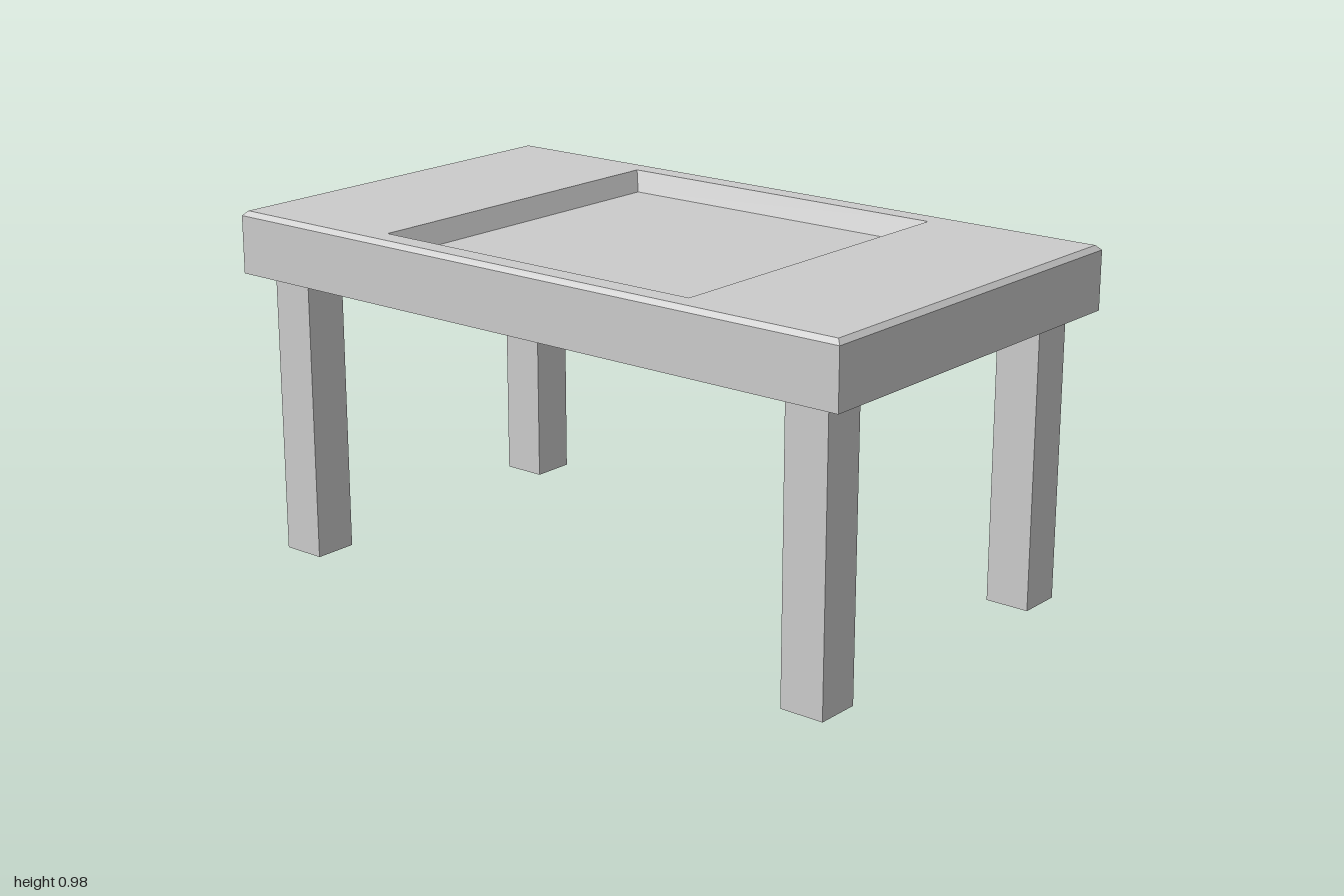
import * as THREE from 'three';

const material = new THREE.MeshStandardMaterial({ color: 0xcccccc, flatShading: true });

// Lofts a closed solid through rectangular rings [halfX, halfZ, y]
function loftRectangles(rings) {
  const positions = [];
  const index = [];
  for (const [x, z, y] of rings) {
    positions.push(-x, y, z, x, y, z, x, y, -z, -x, y, -z);
  }
  for (let r = 0; r < rings.length - 1; r++) {
    for (let i = 0; i < 4; i++) {
      const a = r * 4 + i;
      const b = r * 4 + (i + 1) % 4;
      index.push(a, b, b + 4, a, b + 4, a + 4);
    }
  }
  const last = (rings.length - 1) * 4;
  index.push(0, 2, 1, 0, 3, 2); // underside
  index.push(last, last + 1, last + 2, last, last + 2, last + 3); // recess floor
  const indexed = new THREE.BufferGeometry();
  indexed.setAttribute('position', new THREE.Float32BufferAttribute(positions, 3));
  indexed.setIndex(index);
  const geometry = indexed.toNonIndexed();
  geometry.computeVertexNormals();
  return geometry;
}

export function createModel() {
  const table = new THREE.Group();
  table.name = 'table';

  // Slab with a chamfered top edge and a sunken square tray
  const top = new THREE.Mesh(loftRectangles([
    [1, 0.577, 0.8],
    [1, 0.577, 0.962],
    [0.987, 0.564, 0.975],
    [0.508, 0.508, 0.975],
    [0.484, 0.484, 0.917],
  ]), material);
  top.name = 'tableTop';
  table.add(top);

  // Four square legs
  const legHeight = 0.8;
  const legGeometry = new THREE.BoxGeometry(0.126, legHeight, 0.126);
  for (const [side, sx] of [['Left', 1], ['Right', -1]]) {
    for (const [end, sz] of [['front', 1], ['back', -1]]) {
      const leg = new THREE.Mesh(legGeometry, material);
      leg.name = `${end}${side}Leg`;
      leg.position.set(sx * 0.871, legHeight / 2, sz * 0.459);
      table.add(leg);
    }
  }
  return table;
}
